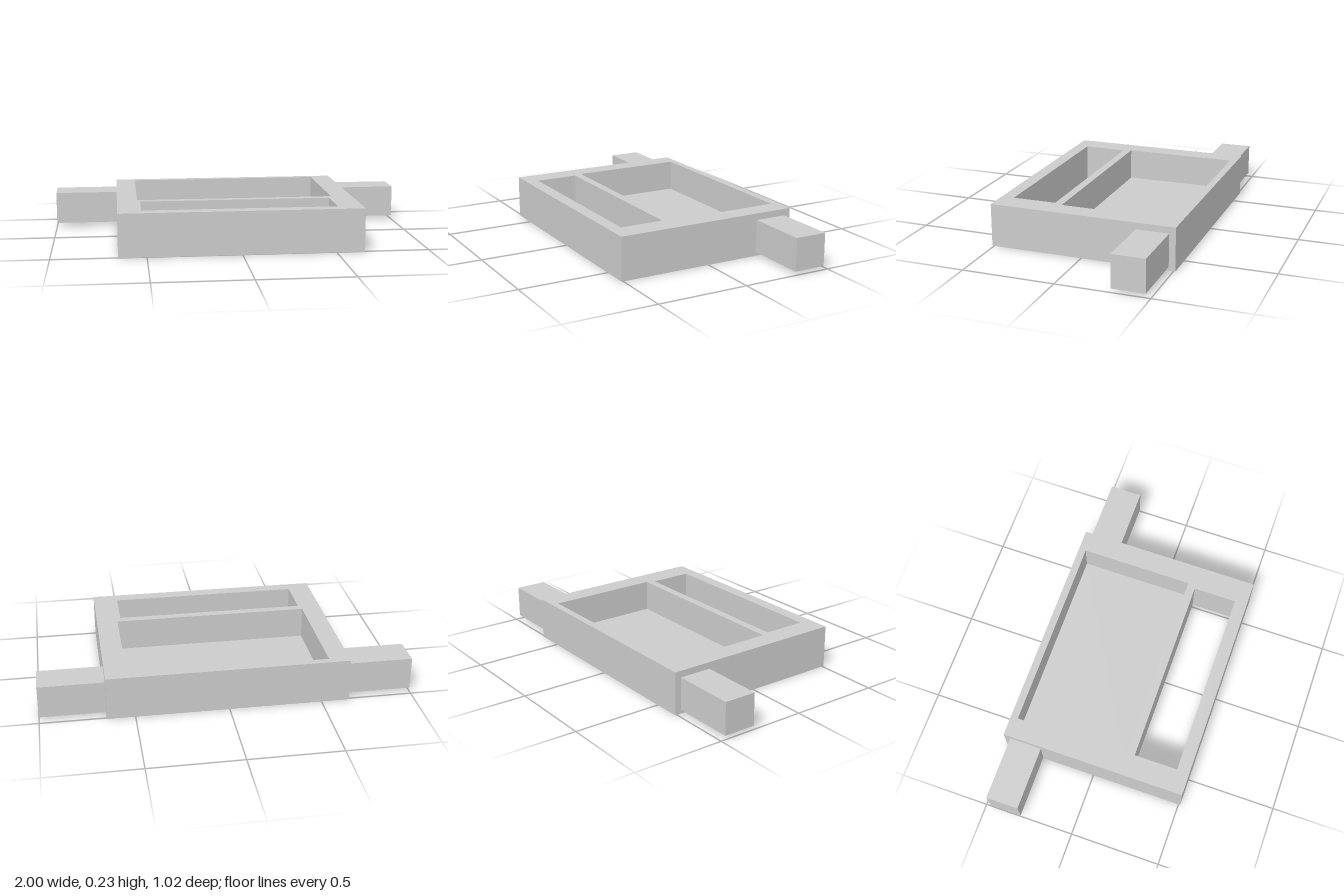
import * as THREE from 'three';

const HEIGHT = 0.235;
const FLOOR = 0.06;
const POCKET = [-0.54, 0.535, -0.47, 0.155]; // x0, x1, z0, z1
const SLOT = [-0.525, 0.515, 0.2, 0.44];

// Rectangle on the ground plan; shape y becomes -z once laid flat
function rect(path, [x0, x1, z0, z1]) {
  path.moveTo(x0, -z1);
  path.lineTo(x1, -z1);
  path.lineTo(x1, -z0);
  path.lineTo(x0, -z0);
  path.closePath();
  return path;
}

export function createModel() {
  const group = new THREE.Group();
  const material = new THREE.MeshStandardMaterial({ color: 0xcccccc, flatShading: true });

  function add(name, geometry, x = 0, y = 0, z = 0) {
    const mesh = new THREE.Mesh(geometry, material);
    mesh.name = name;
    mesh.position.set(x, y, z);
    group.add(mesh);
  }

  // Frame with the large pocket and the narrow through slot
  const plan = rect(new THREE.Shape(), [-0.65, 0.65, -0.51, 0.51]);
  plan.holes.push(rect(new THREE.Path(), POCKET), rect(new THREE.Path(), SLOT));
  const frame = new THREE.ExtrudeGeometry(plan, { depth: HEIGHT, bevelEnabled: false });
  frame.rotateX(-Math.PI / 2);
  add('frame', frame);

  // Floor closing the bottom of the large pocket
  const [x0, x1, z0, z1] = POCKET;
  add('pocketFloor', new THREE.BoxGeometry(x1 - x0, FLOOR, z1 - z0),
    (x0 + x1) / 2, FLOOR / 2, (z0 + z1) / 2);

  // Square side arms near the back
  for (const [name, side] of [['leftArm', 1], ['rightArm', -1]]) {
    add(name, new THREE.BoxGeometry(0.35, 0.178, 0.178), side * 0.825, 0.11, -0.386);
  }

  return group;
}
